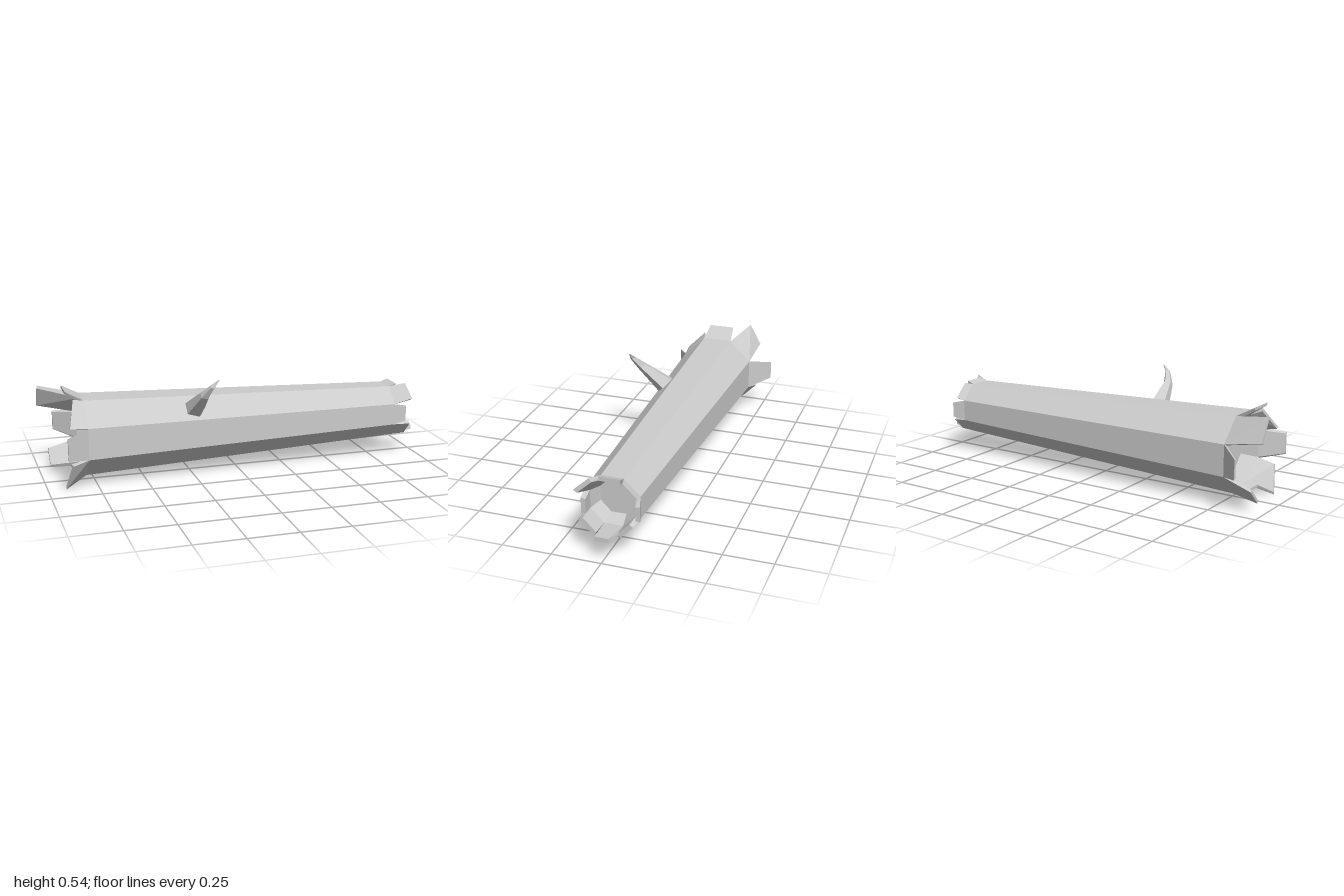
import * as THREE from 'three';
import { ConvexGeometry } from 'three/addons/geometries/ConvexGeometry.js';

const CY = 0.2185, CZ = -0.005; // log axis
const T8 = Math.tan(Math.PI / 8), C8 = Math.cos(Math.PI / 8);

export function createModel() {
  const model = new THREE.Group();
  const material = new THREE.MeshStandardMaterial({ color: 0xcccccc, flatShading: true, side: THREE.DoubleSide });
  const add = (geometry, name) => {
    const mesh = new THREE.Mesh(geometry, material);
    mesh.name = name;
    model.add(mesh);
  };

  // Tapered octagonal trunk with a shallow hollow at each end: [apothem, x]
  const profile = [
    [0, -0.72], [0.14, -0.72], [0.168, -0.8], [0.193, -0.8],
    [0.135, 0.85], [0.113, 0.85], [0.09, 0.78], [0, 0.78],
  ].map(([a, x]) => new THREE.Vector2(a / C8, x));
  const trunk = new THREE.LatheGeometry(profile, 8, Math.PI / 8);
  trunk.rotateZ(-Math.PI / 2).translate(0, CY, CZ);
  add(trunk, 'trunk');

  // Splinters continue each of the eight sides past the trunk's rim
  const splinter = (k, baseX, baseR, thick, tipThick, [xa, xb, ra, rb, w], name) => {
    const a = k * Math.PI / 4, c = Math.cos(a), s = Math.sin(a);
    const point = (x, r, t) => new THREE.Vector3(x, CY + r * c - t * s, CZ + r * s + t * c);
    const pts = [];
    for (const d of [0, 1]) {
      const r = baseR - d * thick;
      pts.push(point(baseX, r, -r * T8), point(baseX, r, r * T8));
      const k2 = 1 - d * 0.1;
      pts.push(point(xa, ra - d * tipThick, -w * k2), point(xb, rb - d * tipThick, w * k2));
    }
    add(new ConvexGeometry(pts), name);
  };

  // Tips, going from the top over the front: [x at each corner, distance from axis at each, half width]
  const wideTips = [
    [-0.89, -0.89, 0.242, 0.242, 0.069],
    [-0.855, -0.89, 0.21, 0.206, 0.08],
    [-0.91, -0.91, 0.258, 0.258, 0.057],
    [-0.88, -0.91, 0.215, 0.266, 0.07],
    [-0.85, -0.85, 0.193, 0.193, 0.08],
    [-0.95, -0.95, 0.232, 0.232, 0.054],
    [-0.91, -0.91, 0.297, 0.297, 0.05],
    [-1, -1, 0.229, 0.264, 0.062],
  ];
  const narrowTips = [
    [0.89, 0.89, 0.148, 0.148, 0.055],
    [0.93, 0.94, 0.168, 0.173, 0.05],
    [0.92, 0.92, 0.13, 0.13, 0.041],
    [0.945, 0.945, 0.135, 0.135, 0.05],
    [1, 1, 0.122, 0.122, 0.036],
    [0.93, 0.93, 0.135, 0.135, 0.045],
    [0.915, 0.915, 0.155, 0.155, 0.04],
    [0.9, 0.9, 0.145, 0.145, 0.05],
  ];
  wideTips.forEach((tip, k) => splinter(k, -0.8, 0.193, 0.025, 0.014, tip, 'wideEndSplinter' + k));
  narrowTips.forEach((tip, k) => splinter(k, 0.85, 0.135, 0.022, 0.022, tip, 'narrowEndSplinter' + k));

  // Bent twig: five-sided rings [x, y, z, radius, tilt of the ring from upright]
  const rings = [
    [-0.25, 0.325, 0.1, 0.058, 0.8],
    [-0.228, 0.438, 0.245, 0.026, 0.75],
    [-0.2, 0.489, 0.288, 0.014, 0.5],
    [-0.17, 0.522, 0.295, 0.004, 0.3],
  ];
  const N = 5, pos = [], index = [];
  rings.forEach(([x, y, z, r, tilt], i) => {
    for (let j = 0; j < N; j++) {
      const a = (j / N) * Math.PI * 2, u = r * Math.cos(a), v = r * Math.sin(a);
      pos.push(x + u, y - v * Math.sin(tilt), z + v * Math.cos(tilt));
      if (i === 0) continue;
      const p = i * N + j, q = i * N + (j + 1) % N;
      index.push(p - N, p, q - N, q - N, p, q);
    }
  });
  const last = (rings.length - 1) * N;
  for (let j = 1; j < N - 1; j++) index.push(last, last + j + 1, last + j);
  const twig = new THREE.BufferGeometry();
  twig.setAttribute('position', new THREE.Float32BufferAttribute(pos, 3));
  twig.setIndex(index);
  twig.computeVertexNormals();
  add(twig, 'twig');

  return model;
}
